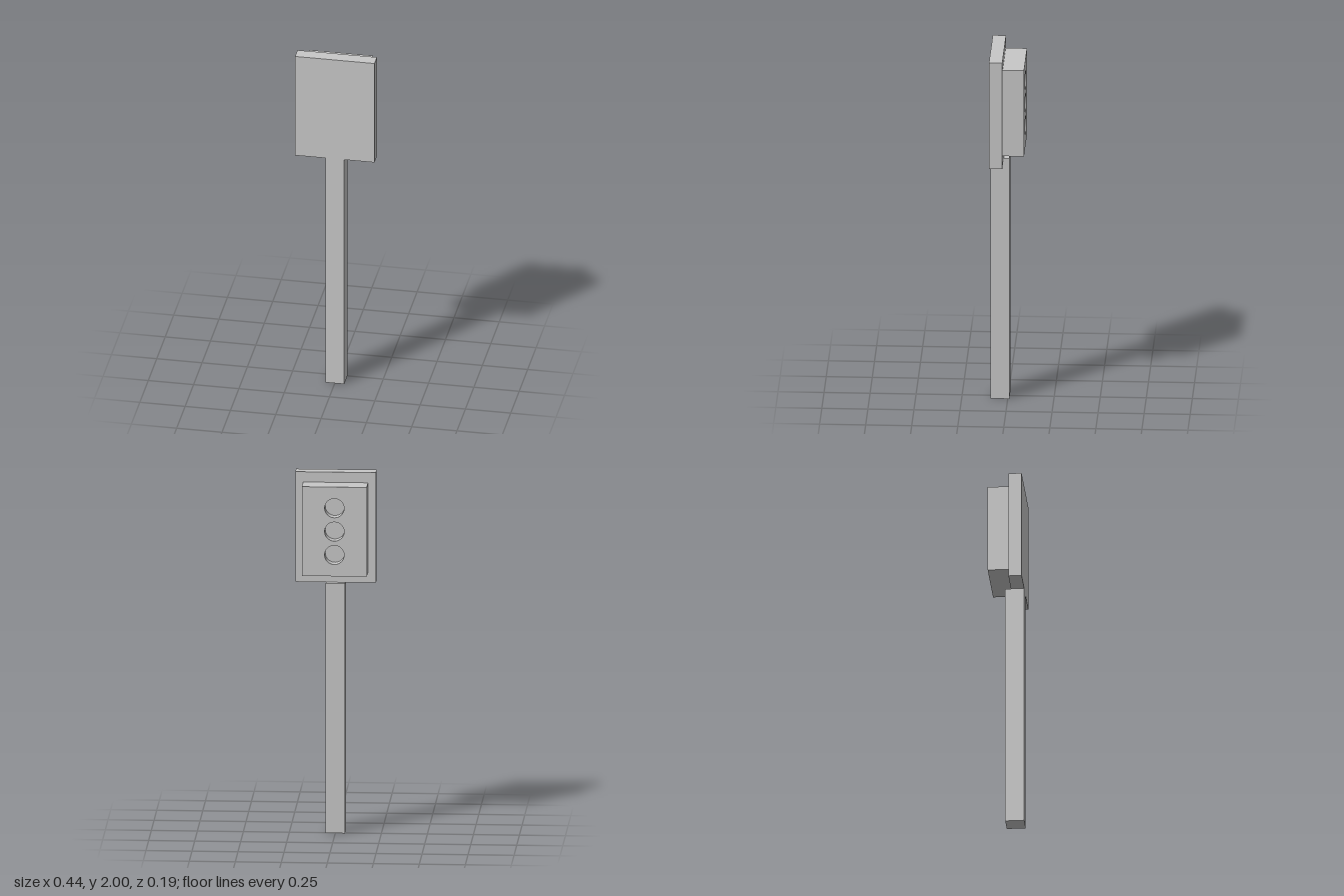
import * as THREE from 'three';

export function createModel() {
  const model = new THREE.Group();
  const grey = new THREE.MeshStandardMaterial({ color: 0xc8c8c8 });
  grey.name = 'light grey';

  const add = (name, geometry, x, y, z) => {
    const mesh = new THREE.Mesh(geometry, grey);
    mesh.name = name;
    mesh.position.set(x, y, z);
    model.add(mesh);
  };
  const box = (name, w, y0, y1, z0, z1) =>
    add(name, new THREE.BoxGeometry(w, y1 - y0, z1 - z0), 0, (y0 + y1) / 2, (z0 + z1) / 2);

  const back = -0.094, front = 0.094, joint = 0.022;
  const holeDepth = 0.058, holeRadius = 0.053, holeSpacing = 0.13;
  const caseW = 0.352, caseBottom = 1.447, caseTop = 1.943;

  // Square post and flat front board
  box('post', 0.104, 0, 1.388, -0.009, front);
  box('board', 0.438, 1.388, 2, joint, front);

  // Inner half of the rear case, which closes the holes
  box('caseBase', caseW, caseBottom, caseTop, back + holeDepth, joint);

  // Outer half of the rear case, with three round recesses
  const w = caseW / 2, h = (caseTop - caseBottom) / 2;
  const face = new THREE.Shape([
    new THREE.Vector2(-w, -h), new THREE.Vector2(w, -h),
    new THREE.Vector2(w, h), new THREE.Vector2(-w, h),
  ]);
  for (const i of [-1, 0, 1]) {
    face.holes.push(new THREE.Path().absarc(0, i * holeSpacing, holeRadius, 0, Math.PI * 2, true));
  }
  const cover = new THREE.ExtrudeGeometry(face, { depth: holeDepth, bevelEnabled: false, curveSegments: 32 });
  add('caseCover', cover, 0, (caseBottom + caseTop) / 2, back);

  return model;
}
